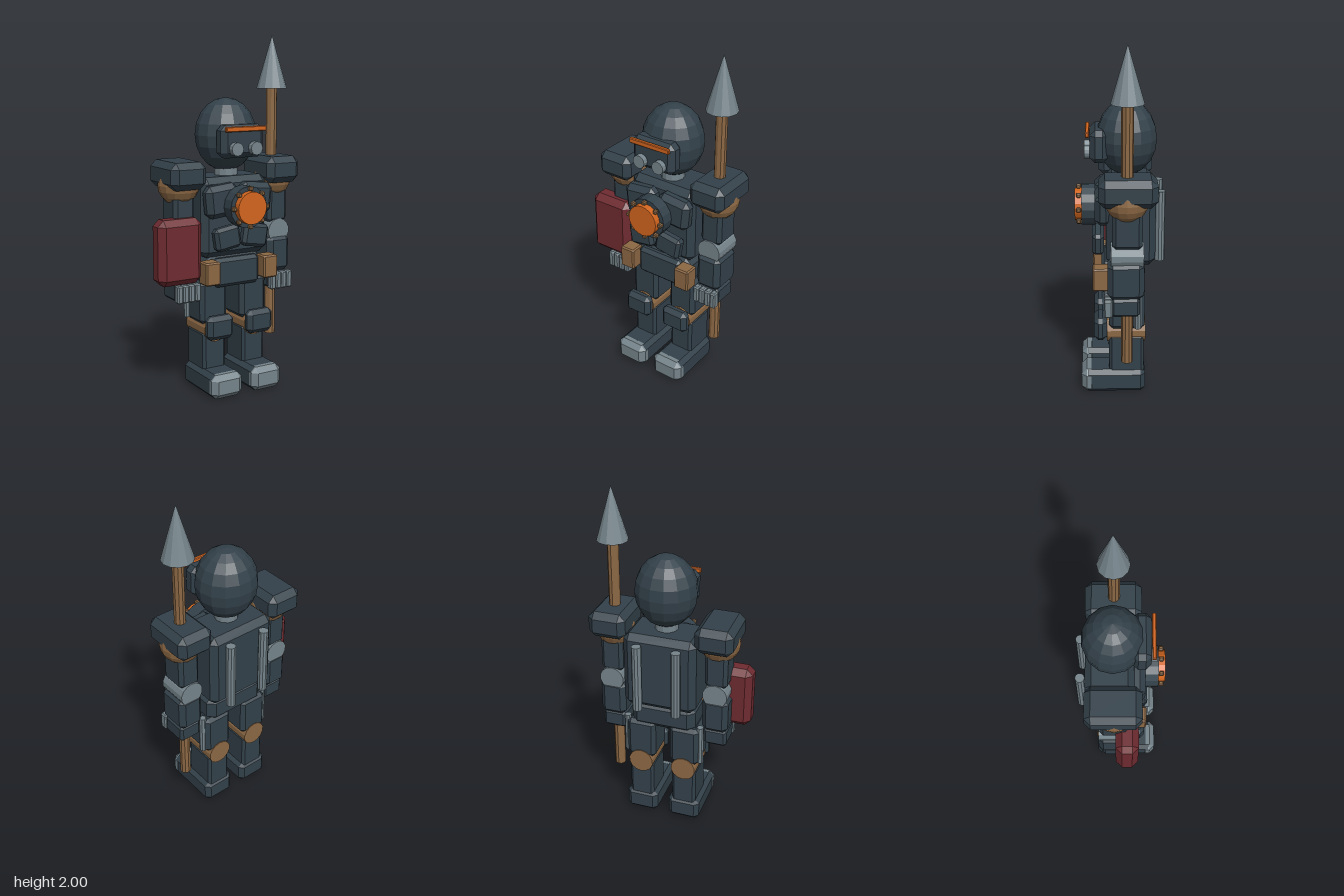
import * as THREE from 'three';
import { ConvexGeometry } from 'three/addons/geometries/ConvexGeometry.js';

const mat = (name, color) => {
  const m = new THREE.MeshStandardMaterial({ color, flatShading: true });
  m.name = name;
  return m;
};

// Box with a flat chamfer on every edge
function chamferBox(w, h, d, b) {
  const pts = [];
  const [x, y, z] = [w / 2, h / 2, d / 2];
  for (const i of [-1, 1]) for (const j of [-1, 1]) for (const k of [-1, 1]) {
    pts.push(new THREE.Vector3(i * x, j * (y - b), k * (z - b)));
    pts.push(new THREE.Vector3(i * (x - b), j * y, k * (z - b)));
    pts.push(new THREE.Vector3(i * (x - b), j * (y - b), k * z));
  }
  return new ConvexGeometry(pts);
}

export function createModel() {
  const dark = mat('dark armour', 0x33414a);
  const steel = mat('steel', 0x75848b);
  const tan = mat('tan leather', 0x8c6844);
  const red = mat('dark red', 0x6e2b30);
  const orange = mat('orange', 0xd2651e);

  const model = new THREE.Group();
  model.name = 'armouredGuard';
  const body = new THREE.Group();
  body.name = 'body';
  body.position.x = 0.03;
  model.add(body);

  const add = (name, geometry, material, x, y, z, parent = body) => {
    const mesh = new THREE.Mesh(geometry, material);
    mesh.name = name;
    mesh.position.set(x, y, z);
    parent.add(mesh);
    return mesh;
  };
  const box = (name, material, w, h, d, b, x, y, z, parent) =>
    add(name, chamferBox(w, h, d, b), material, x, y, z, parent);
  const rod = (name, material, r, len, sides, x, y, z, parent) =>
    add(name, new THREE.CylinderGeometry(r, r, len, sides), material, x, y, z, parent);
  // Cylinder whose axis points forward
  const disc = (name, material, r, len, sides, x, y, z, parent) => {
    const m = rod(name, material, r, len, sides, x, y, z, parent);
    m.rotation.x = Math.PI / 2;
    return m;
  };

  // Head
  const head = add('head', new THREE.SphereGeometry(0.17, 14, 10), dark, 0, 1.45, -0.042);
  head.scale.set(1.03, 1.21, 0.98);
  box('facePlate', dark, 0.27, 0.18, 0.1, 0.03, 0, 1.425, 0.11);
  box('visorStrip', orange, 0.254, 0.028, 0.022, 0.004, 0, 1.494, 0.172);
  for (const s of [-1, 1]) disc('eyeLens', steel, 0.037, 0.04, 12, s * 0.061, 1.387, 0.17);
  rod('neck', steel, 0.066, 0.12, 12, 0, 1.24, -0.04);

  // Torso and hips
  box('torso', dark, 0.42, 0.45, 0.27, 0.035, 0, 1.0, -0.06);
  box('hips', dark, 0.38, 0.175, 0.22, 0.04, 0, 0.692, -0.03);
  box('beltFront', dark, 0.29, 0.165, 0.06, 0.02, 0, 0.69, 0.07);
  for (const s of [-1, 1]) {
    const pec = box('chestPlate', dark, 0.205, 0.18, 0.09, 0.03, s * 0.108, 1.1, 0.09);
    pec.rotation.z = -s * 0.1;
    const ab = box('bellyPlate', dark, 0.16, 0.13, 0.065, 0.018, s * 0.09, 0.895, 0.118);
    ab.rotation.z = -s * 0.16;
    box('beltPouch', tan, 0.092, 0.13, 0.09, 0.008, s * 0.188, 0.705, 0.105);
    rod('backTube', steel, 0.027, 0.4, 10, s * 0.113, 0.98, -0.223);
  }

  // Chest emblem disc with studs
  disc('chestRing', dark, 0.116, 0.075, 16, 0, 1.07, 0.17);
  disc('chestCore', orange, 0.09, 0.04, 20, 0, 1.07, 0.225);
  for (let i = 0; i < 8; i++) {
    const a = (i * Math.PI) / 4;
    box('stud', tan, 0.024, 0.024, 0.026, 0.005,
      0.105 * Math.cos(a), 1.07 + 0.105 * Math.sin(a), 0.223);
  }

  // Arms and legs, mirrored
  for (const s of [-1, 1]) {
    const arm = new THREE.Group();
    arm.name = s > 0 ? 'leftArm' : 'rightArm';
    arm.position.x = s * 0.305;
    body.add(arm);
    box('shoulderPlate', dark, 0.215, 0.15, 0.31, 0.035, 0, 1.245, -0.04, arm);
    add('shoulderJoint', new THREE.SphereGeometry(0.115, 14, 10), tan, 0, 1.188, -0.035, arm);
    box('upperArm', dark, 0.13, 0.27, 0.16, 0.02, 0, 1.068, -0.037, arm);
    disc('elbow', steel, 0.071, 0.175, 14, 0, 0.885, -0.037, arm);
    box('forearm', dark, 0.15, 0.215, 0.195, 0.028, 0, 0.752, -0.03, arm);
    box('hand', dark, 0.135, 0.105, 0.155, 0.015, 0, 0.6, -0.028, arm);
    for (let i = 0; i < 4; i++) {
      box('finger', steel, 0.034, 0.1, 0.045, 0.007, (i - 1.5) * 0.037, 0.597, 0.066, arm);
    }

    const leg = new THREE.Group();
    leg.name = s > 0 ? 'leftLeg' : 'rightLeg';
    leg.position.x = s * 0.13;
    body.add(leg);
    box('thigh', dark, 0.172, 0.245, 0.2, 0.022, 0, 0.518, -0.04, leg);
    disc('kneeJoint', tan, 0.073, 0.215, 14, 0, 0.365, -0.037, leg);
    box('kneePad', dark, 0.168, 0.137, 0.072, 0.025, 0, 0.388, 0.108, leg);
    box('shin', dark, 0.145, 0.24, 0.195, 0.015, 0, 0.23, -0.038, leg);
    box('boot', dark, 0.19, 0.138, 0.35, 0.026, 0, 0.07, 0.03, leg);
    box('toeCap', steel, 0.194, 0.138, 0.085, 0.03, 0, 0.071, 0.175, leg);
    rod('thighRod', steel, 0.02, 0.24, 8, s * 0.09, 0.53, -0.1, leg);
  }

  // Shield on the right arm
  box('shield', red, 0.265, 0.365, 0.128, 0.035, -0.353, 0.833, 0.036);

  // Spear in the left hand
  const spear = new THREE.Group();
  spear.name = 'spear';
  spear.position.set(0.305, 0, -0.037);
  body.add(spear);
  rod('spearShaft', tan, 0.032, 1.46, 10, 0, 0.98, 0, spear);
  add('spearTip', new THREE.ConeGeometry(0.087, 0.3, 12), steel, 0, 1.85, 0, spear);

  return model;
}
